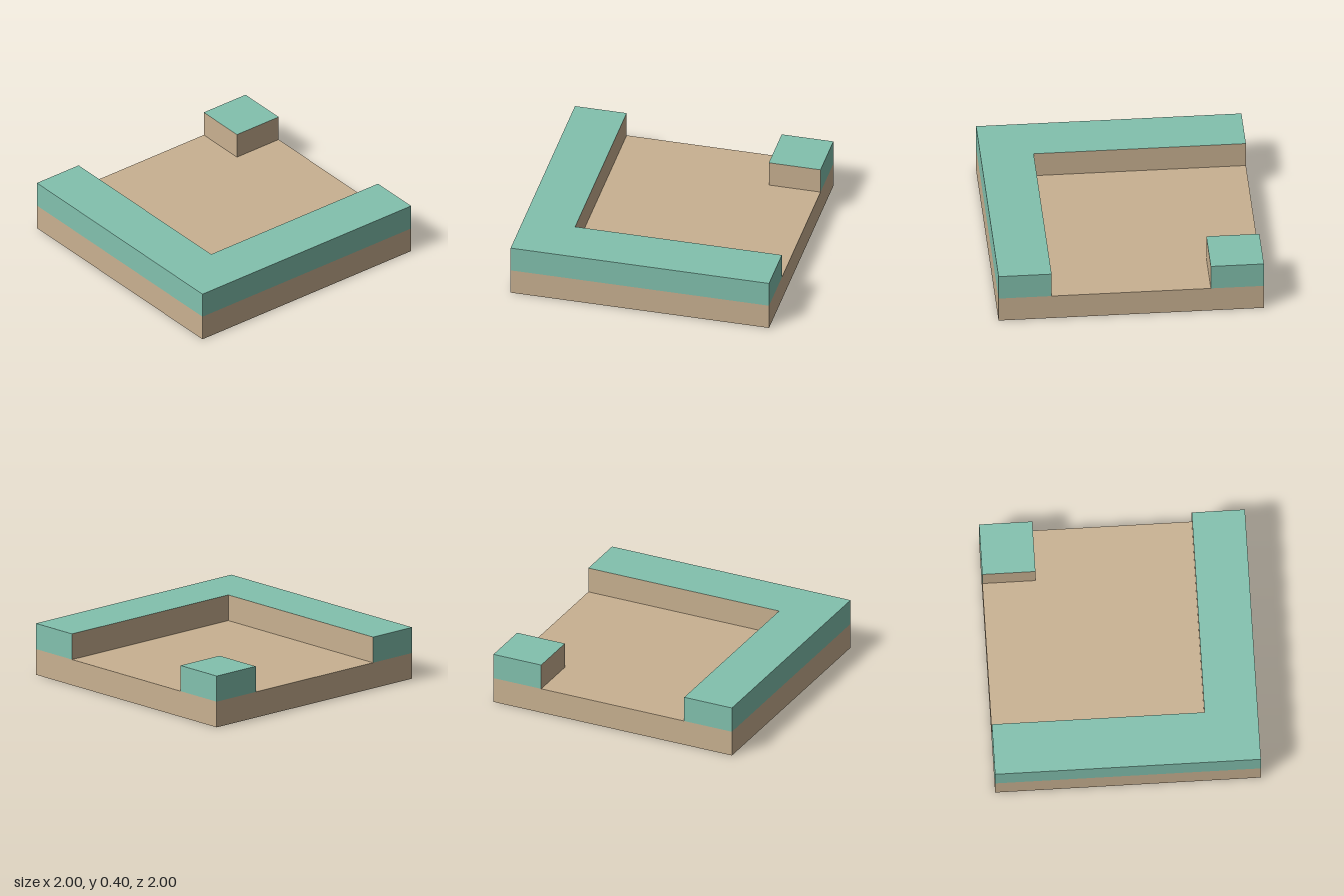
import * as THREE from 'three';

export function createModel() {
  const model = new THREE.Group();
  model.name = 'walledPlatform';

  const sand = new THREE.MeshStandardMaterial({ color: 0xc9b191 });
  sand.name = 'sand';
  const green = new THREE.MeshStandardMaterial({ color: 0x82c1ae });
  green.name = 'sea green';

  // Box from its x, y and z ranges; materials in the order +x, -x, +y, -y, +z, -z
  function block(name, [x0, x1], [y0, y1], [z0, z1], material) {
    const geometry = new THREE.BoxGeometry(x1 - x0, y1 - y0, z1 - z0);
    geometry.translate((x0 + x1) / 2, (y0 + y1) / 2, (z0 + z1) / 2);
    const mesh = new THREE.Mesh(geometry, material);
    mesh.name = name;
    model.add(mesh);
  }

  const low = [0, 0.2];
  const high = [0.2, 0.4];

  // Floor slab
  block('floor', [-1, 1], low, [-1, 1], sand);

  // Raised edges: green outside and on top, sand on the faces towards the middle
  block('sideWall', [-1, -0.6], high, [-1, 0.6], [sand, green, green, sand, sand, green]);
  block('frontWall', [-1, 1], high, [0.6, 1], [green, green, green, sand, green, sand]);
  block('cornerPost', [0.6, 1], high, [-1, -0.6], [green, sand, green, sand, sand, green]);

  return model;
}
